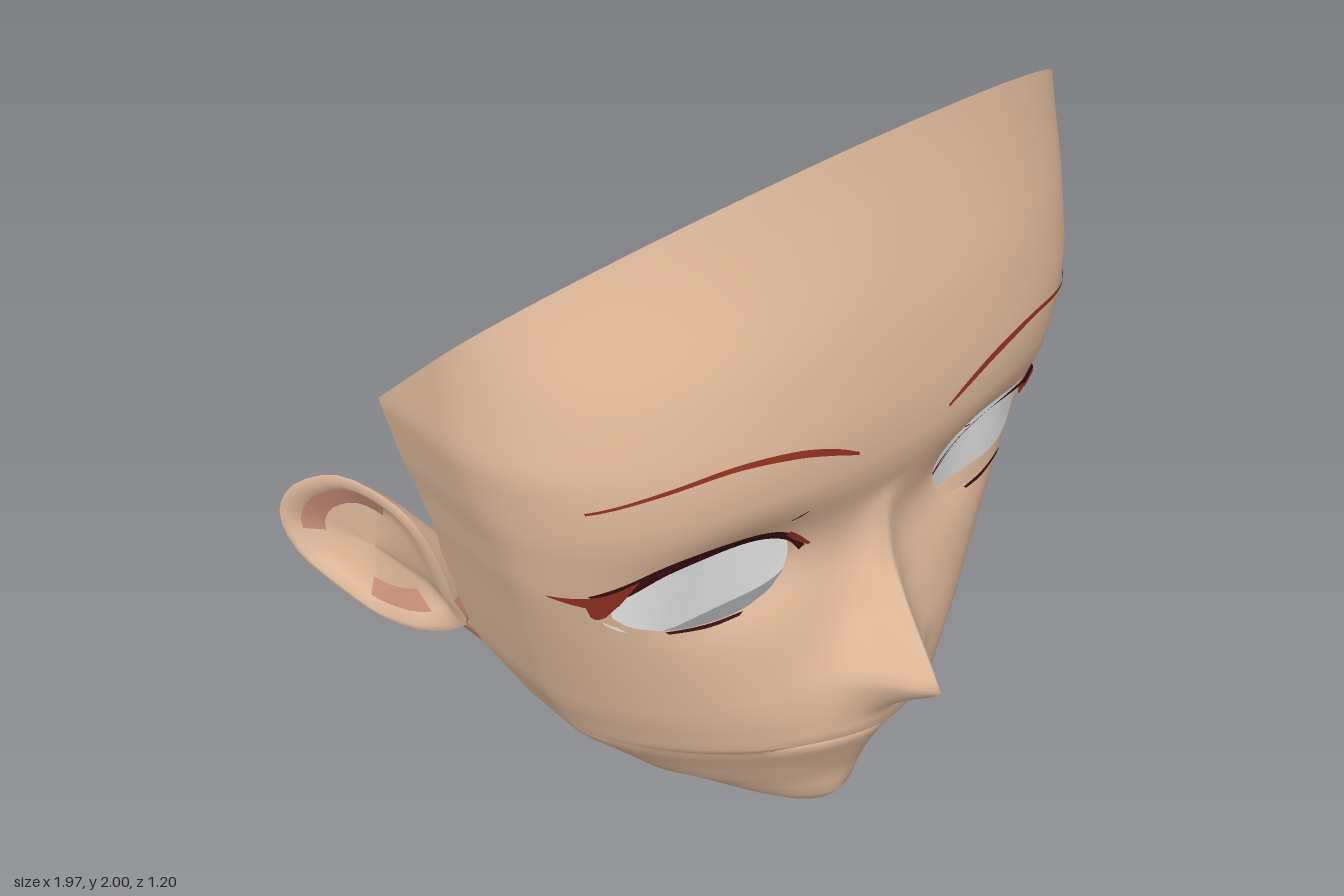
import * as THREE from 'three';

const mat = (name, color) => new THREE.MeshStandardMaterial({ name, color, side: THREE.DoubleSide });

// linear lookup in a [key, value, key, value...] table
function at(tb, y) {
  if (y <= tb[0]) return tb[1];
  for (let i = 2; i < tb.length; i += 2)
    if (y <= tb[i]) return tb[i - 1] + (tb[i + 1] - tb[i - 1]) * (y - tb[i - 2]) / (tb[i] - tb[i - 2]);
  return tb[tb.length - 1];
}
// the same lookup, averaged over a span so that bends stay soft
function soft(tb, y, h) {
  let sum = 0;
  for (let i = -3; i <= 3; i++) sum += at(tb, y + h * i / 3);
  return sum / 7;
}

// surface through rows of points; keep() can drop triangles
function loft(rows, closed = false, keep = () => true) {
  const n = rows[0].length, idx = [];
  for (let r = 0; r < rows.length - 1; r++)
    for (let c = 0; c < (closed ? n : n - 1); c++) {
      const a = r * n + c, b = r * n + (c + 1) % n, d = a + n, e = b + n;
      for (const t of [[a, b, e], [a, e, d]]) if (keep(t, r, c)) idx.push(...t);
    }
  const g = new THREE.BufferGeometry();
  g.setAttribute('position', new THREE.Float32BufferAttribute(rows.flat(2), 3));
  g.setIndex(idx);
  g.computeVertexNormals();
  return g;
}

// face cross-section rules, all by height
const WIDTH = [0, 0.01, 0.015, 0.085, 0.08, 0.2, 0.2, 0.385, 0.36, 0.545, 0.535, 0.63, 0.7, 0.68, 0.9, 0.735,
  1.0, 0.765, 1.1, 0.79, 1.2, 0.82, 1.38, 0.86, 1.65, 0.855, 2, 0.84];
const FRONT = [0, 0.165, 0.02, 0.22, 0.07, 0.265, 0.175, 0.29, 0.29, 0.345, 0.35, 0.38, 0.385, 0.39, 0.41, 0.425,
  0.49, 0.425, 0.55, 0.42, 0.65, 0.4, 0.8, 0.37, 0.95, 0.35, 1.07, 0.38, 1.21, 0.435, 1.35, 0.45, 1.6, 0.435, 2, 0.366];
const TEMPLE = [0, 0.15, 0.08, 0.06, 0.2, -0.04, 0.4, -0.1, 0.6, -0.09, 1.0, 0, 1.38, -0.08, 2, -0.08];
const BACK = [0, 0.14, 0.03, 0.1, 0.08, 0.02, 0.2, -0.15, 0.38, -0.28, 0.58, -0.36, 0.7, -0.37, 0.85, -0.34, 0.97, -0.3, 1.38, -0.31];
const POWER = [0.4, 1.6, 1.0, 2.5, 1.45, 2.5, 1.8, 2.0];
const ROUND = [0.4, 0.7, 1.0, 0.48, 1.45, 0.48, 1.8, 0.55];
const NOSE = [0.45, 0, 0.49, 0.02, 0.545, 0.09, 0.6, 0.17, 0.625, 0.195, 0.66, 0.18, 0.76, 0.135, 0.89, 0.075, 1.0, 0.04, 1.1, 0];
const NOSE_W = [0.5, 0.08, 0.62, 0.08, 0.8, 0.055, 1.05, 0.05];
const gauss = (v, w) => Math.exp(-(v / w) * (v / w));
const templeZ = y => soft(TEMPLE, y, Math.min(0.12, y * 0.3));

function faceZ(x, y) {
  const ax = Math.abs(x), s = Math.min(1, ax / at(WIDTH, y)), zs = templeZ(y);
  const p = soft(POWER, y, 0.15), e = soft(ROUND, y, 0.15);
  const front = soft(FRONT, y, at([0.5, 0, 0.7, 0.06], y));
  let z = zs + (front - zs) * Math.pow(1 - Math.pow(s, p), e);
  z += at(NOSE, y) * Math.exp(-Math.pow(ax / at(NOSE_W, y), 1.4));
  z -= 0.06 * gauss(ax - 0.36, 0.17) * gauss(y - 1.01, 0.13);           // eye socket
  z -= 0.03 * gauss(y - 0.393, 0.01) * Math.max(0, 1 - Math.pow(ax / 0.27, 4)); // lip crease
  return z;
}

// eye opening outline
const EYE = { x: 0.435, y: 0.995, a: 0.207, b: 0.122 };
const eyeRadius = (x, y) => Math.pow(
  Math.pow(Math.abs(Math.abs(x) - EYE.x) / EYE.a, 2.3) + Math.pow(Math.abs(y - EYE.y) / EYE.b, 2.3), 1 / 2.3);
function eyeRing(side, r, off) {
  const ring = [];
  for (let i = 0; i < 36; i++) {
    const t = i / 36 * Math.PI * 2, c = Math.cos(t), s = Math.sin(t), q = 2 / 2.3;
    const x = EYE.x + EYE.a * r * Math.sign(c) * Math.pow(Math.abs(c), q);
    const y = EYE.y + EYE.b * r * Math.sign(s) * Math.pow(Math.abs(s), q);
    ring.push([side * x, y, faceZ(x, EYE.y) + 0.1 * (y - EYE.y) + off]);
  }
  return ring;
}

// heights shared by the face and the jaw line
const JAW_Y = [0, 0.015, 0.03, 0.05, 0.08, 0.13, 0.165, 0.2, 0.25, 0.3, 0.34, 0.37, 0.383, 0.393, 0.403, 0.42, 0.45, 0.49, 0.535, 0.58];

function faceGeometry() {
  const ys = [...JAW_Y, 0.6, 0.625, 0.65, 0.7];
  for (let y = 0.74; y < 1.255; y += 0.03) ys.push(y);
  const base = ys[ys.length - 1], UP = 12, N = 40, M = 6, rows = [], inEye = [];
  const point = (c, y) => {
    const k = Math.abs(c), sg = Math.sign(c), w = at(WIDTH, y);
    if (k <= N) { const x = w * Math.sin(k / N * Math.PI / 2); return [sg * x, y, faceZ(x, y)]; }
    const zs = templeZ(y);
    return [sg * w, y, zs + (at(BACK, y) - zs) * (k - N) / M];
  };
  // slanted upper cut, running from the crown down to the temples
  const topY = c => {
    let lo = base, hi = 2.05;
    for (let i = 0; i < 30; i++) {
      const m = (lo + hi) / 2;
      if (m < 1.38 + (point(c, m)[2] + 0.31) * 0.92) lo = m; else hi = m;
    }
    return lo;
  };
  for (let r = 0; r < ys.length + UP; r++) {
    const row = [];
    for (let c = -N - M; c <= N + M; c++) {
      const y = r < ys.length ? ys[r] : base + (topY(c) - base) * (r - ys.length + 1) / UP;
      let p = point(c, y);
      const e = Math.abs(c) <= N ? eyeRadius(p[0], y) : 9;
      inEye.push(e < 1);
      if (e < 1) { // slide onto the eye outline
        const f = 1 / Math.max(e, 0.05), sg = Math.sign(p[0]) || 1;
        const x = EYE.x + (Math.abs(p[0]) - EYE.x) * f, ny = EYE.y + (y - EYE.y) * f;
        p = [sg * x, ny, faceZ(x, ny)];
      }
      row.push(p);
    }
    rows.push(row);
  }
  return loft(rows, false, t => !t.every(i => inEye[i]));
}

// thin painted strip lying on the face between two outlines
function strip(side, upper, lower, off = 0.01) {
  const curve = pts => new THREE.CatmullRomCurve3(pts.map(([x, y]) => new THREE.Vector3(x, y, 0)))
    .getPoints(28).map(p => [side * p.x, p.y, faceZ(p.x, p.y) + off]);
  return loft([curve(lower), curve(upper)]);
}

export function createModel() {
  const root = new THREE.Group();
  const skin = mat('skin', 0xecc4a4), shade = mat('skin shadow', 0xd0947f), white = mat('eye white', 0xe8e8e8);
  const dark = mat('dark maroon', 0x3f0f14), red = mat('russet', 0x9a3523);
  const add = (name, geo, material, parent = root) => {
    const m = new THREE.Mesh(geo, material);
    m.name = name;
    parent.add(m);
  };

  add('face', faceGeometry(), skin);

  // underside of the jaw, from jaw line to neck edge
  const neckX = [0, 0, 0.08, 0.12, 0.2, 0.27, 0.38, 0.45, 0.48, 0.58, 0.58, 0.7];
  const neckY = [0, 0.075, 0.08, 0.09, 0.2, 0.2, 0.38, 0.46, 0.48, 0.55, 0.58, 0.63];
  const neckZ = [0, -0.15, 0.08, -0.165, 0.2, -0.25, 0.38, -0.41, 0.48, -0.42, 0.58, -0.45];
  const jaw = [], neck = [], last = JAW_Y.length - 1;
  for (let i = -last; i <= last; i++) {
    const y = JAW_Y[Math.abs(i)], s = Math.sign(i);
    jaw.push([s * at(WIDTH, y), y, at(BACK, y)]);
    neck.push([s * at(neckX, y), at(neckY, y), at(neckZ, y)]);
  }
  add('jawUnderside', loft([neck, jaw]), shade);

  // mouth line, mouth pocket and the red palate
  add('mouthLine', strip(1, [[-0.26, 0.395], [0, 0.396], [0.26, 0.395]], [[-0.26, 0.389], [0, 0.39], [0.26, 0.389]], 0.005), dark);
  const pocket = new THREE.CylinderGeometry(0.707, 0.707, 1, 4, 1, true);
  pocket.rotateY(Math.PI / 4).rotateX(Math.PI / 2).scale(0.5, 0.12, 0.14).translate(0, 0.4, 0.18);
  add('mouthPocket', pocket, skin);
  const palate = new THREE.SphereGeometry(1, 24, 8, 0, Math.PI * 2, 0, Math.PI / 2);
  palate.scale(0.225, 0.06, 0.135).translate(0, 0.463, 0.215);
  add('palate', palate, red);

  // ear rim, from the front root over the top and down to the lobe
  const rim = [[0.79, 0.98, -0.33], [0.83, 1.05, -0.38], [0.9, 1.105, -0.46], [0.965, 1.06, -0.55], [0.985, 0.96, -0.6],
    [0.965, 0.85, -0.58], [0.9, 0.74, -0.51], [0.83, 0.65, -0.45], [0.72, 0.57, -0.41], [0.66, 0.59, -0.36],
    [0.7, 0.7, -0.34], [0.745, 0.85, -0.32]];
  const rimPts = new THREE.CatmullRomCurve3(rim.map(p => new THREE.Vector3(...p)), true).getPoints(36).slice(0, 36);
  const centre = new THREE.Vector3(0.85, 0.86, -0.45), out = new THREE.Vector3(0.83, 0, 0.55);
  const earRoot = new THREE.Vector3(0.71, 0.78, -0.42);

  for (const side of [1, -1]) {
    const label = side > 0 ? 'left' : 'right';

    const ear = new THREE.Group();
    ear.name = label + 'Ear';
    root.add(ear);
    const ring = (scale, push, toRoot = 0) => rimPts.map(p => {
      const q = centre.clone().lerp(earRoot, toRoot);
      q.addScaledVector(p.clone().sub(centre), scale).addScaledVector(out, push);
      return [side * q.x, q.y, q.z];
    });
    const bowl = [ring(1, 0), ring(0.9, 0.008), ring(0.78, -0.01), ring(0.55, -0.03), ring(0.01, -0.03)];
    const fold = (t, r, c) => r === 2 && ((c > 2 && c < 13) || (c > 19 && c < 25));
    add('earBowl', loft(bowl, true, (t, r, c) => !fold(t, r, c)), skin, ear);
    add('earFold', loft(bowl, true, fold), shade, ear);
    const shell = [ring(1, 0), ring(0.9, -0.01, 0.2), ring(0.55, 0, 0.95)];
    const low = (t, r, c) => c > 19 && c < 30;
    add('earBack', loft(shell, true, (t, r, c) => !low(t, r, c)), skin, ear);
    add('earUnderside', loft(shell, true, low), shade, ear);

    const eye = new THREE.Group();
    eye.name = label + 'Eye';
    root.add(eye);
    add('eyeWhite', loft([1.12, 0.8, 0.5, 0.25, 0.01].map(r => eyeRing(side, r, -0.018)), true), white, eye);

    // socket behind the eye: dark, with a russet outer corner and skin below
    const apex = eyeRing(side, 1, 0).map(() => [side * 0.42, 1.0, 0.09]);
    const socket = [eyeRing(side, 0.92, -0.028), apex];
    const corner = c => c > 33 || c < 2;
    const lower = c => (c > 16 && c < 26) || (c > 30 && c < 34);
    add('socketBack', loft(socket, true, (t, r, c) => !corner(c) && !lower(c)), dark, eye);
    add('socketCorner', loft(socket, true, (t, r, c) => corner(c)), red, eye);
    add('socketBase', loft(socket, true, (t, r, c) => lower(c)), skin, eye);

    // lashes
    add('upperLash', strip(side,
      [[0.2, 1.02], [0.26, 1.09], [0.35, 1.135], [0.46, 1.147], [0.56, 1.125], [0.64, 1.07], [0.69, 1.035]],
      [[0.21, 1.005], [0.25, 1.055], [0.34, 1.098], [0.45, 1.108], [0.55, 1.086], [0.62, 1.03], [0.66, 1.0]]), dark, eye);
    add('lashWing', strip(side, [[0.61, 1.085], [0.67, 1.04], [0.745, 1.02]], [[0.635, 1.0], [0.68, 0.995], [0.742, 1.016]], 0.014), red, eye);
    add('lashSpike', strip(side, [[0.63, 1.01], [0.66, 1.01], [0.69, 1.0]], [[0.65, 0.96], [0.663, 0.95], [0.675, 0.96]], 0.012), red, eye);
    add('innerLash', strip(side, [[0.19, 1.025], [0.225, 1.065], [0.26, 1.1]], [[0.195, 1.02], [0.232, 1.05], [0.265, 1.085]], 0.014), red, eye);
    add('lowerLash', strip(side, [[0.35, 0.883], [0.43, 0.878], [0.53, 0.884]], [[0.36, 0.875], [0.43, 0.868], [0.52, 0.875]]), dark, eye);
    add('lidCrease', strip(side, [[0.24, 1.168], [0.255, 1.162], [0.275, 1.15]], [[0.24, 1.164], [0.255, 1.155], [0.275, 1.146]], 0.006), dark, eye);

    add(label + 'Eyebrow', strip(side,
      [[0.135, 1.302], [0.2, 1.34], [0.3, 1.376], [0.45, 1.388], [0.6, 1.357], [0.725, 1.31]],
      [[0.137, 1.294], [0.2, 1.322], [0.3, 1.356], [0.45, 1.374], [0.6, 1.346], [0.722, 1.304]], 0.008), red);
  }
  return root;
}
